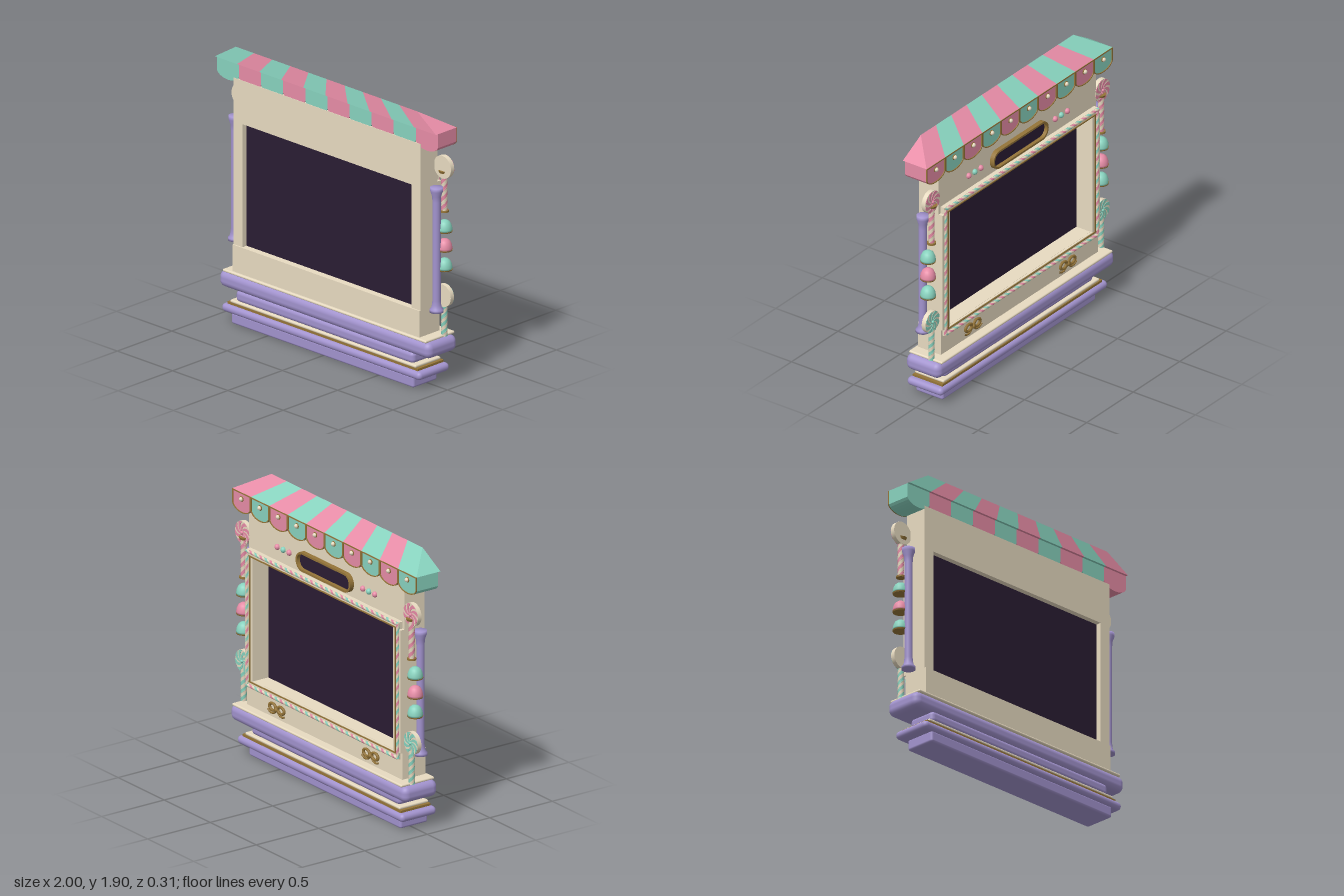
import * as THREE from 'three';
import { RoundedBoxGeometry } from 'three/addons/geometries/RoundedBoxGeometry.js';

const mat = (name, color) => {
  const m = new THREE.MeshStandardMaterial({ color });
  m.name = name;
  return m;
};

export function createModel() {
  const cream = mat('cream', 0xe8dbc1);
  const teal = mat('mint teal', 0x88d2be);
  const pink = mat('candy pink', 0xe68ca6);
  const purple = mat('lavender', 0xa293ce);
  const dark = mat('dark screen', 0x2a1c33);
  const gold = mat('old gold', 0x957539);

  const model = new THREE.Group();
  model.name = 'candyStall';

  const add = (name, geo, material, x = 0, y = 0, z = 0, parent = model) => {
    const m = new THREE.Mesh(geo, material);
    m.name = name;
    m.position.set(x, y, z);
    parent.add(m);
    return m;
  };
  // Box given by its half width and y / z ranges, optionally rounded
  const slab = (name, material, hx, y0, y1, z0, z1, r = 0, x = 0) => {
    const s = [hx * 2, y1 - y0, z1 - z0];
    const g = r ? new RoundedBoxGeometry(...s, 3, r) : new THREE.BoxGeometry(...s);
    return add(name, g, material, x, (y0 + y1) / 2, (z0 + z1) / 2);
  };
  const plate = (shape, depth) => new THREE.ExtrudeGeometry(shape, { depth, bevelEnabled: false, curveSegments: 10 });

  // Rod with spiral stripes: a cylinder twisted about its axis, one group per column
  const twistedRod = (r, h, turns, colours) => {
    const cols = 12, rows = Math.max(16, Math.ceil(turns * 10));
    const g = new THREE.CylinderGeometry(r, r, h, cols, rows, true);
    const p = g.attributes.position, v = new THREE.Vector3(), up = new THREE.Vector3(0, 1, 0);
    for (let i = 0; i < p.count; i++) {
      v.fromBufferAttribute(p, i).applyAxisAngle(up, (v.y / h) * turns * Math.PI * 2);
      p.setXYZ(i, v.x, v.y, v.z);
    }
    g.computeVertexNormals();
    g.clearGroups();
    const width = cols / colours.length;
    for (let c = 0; c < cols; c++) g.addGroup(c * rows * 6, rows * 6, Math.floor(c / width));
    return [g, colours];
  };

  // Stepped base
  slab('plinth', purple, 0.825, 0, 0.08, -0.085, 0.135, 0.016);
  slab('lowerMoulding', purple, 0.9, 0.07, 0.127, -0.13, 0.155, 0.028);
  slab('goldBand', gold, 0.86, 0.125, 0.142, -0.108, 0.13);
  slab('creamBand', cream, 0.84, 0.14, 0.16, -0.103, 0.13, 0.009);
  slab('baseNeck', purple, 0.805, 0.152, 0.235, -0.085, 0.12, 0.03);
  slab('upperMoulding', purple, 0.955, 0.22, 0.332, -0.148, 0.127, 0.045);
  slab('counterTop', cream, 0.92, 0.328, 0.347, -0.15, 0.118, 0.009);

  // Frame around the screen
  slab('lowerPanel', cream, 0.845, 0.34, 0.53, -0.085, 0.1);
  slab('fascia', cream, 0.845, 1.38, 1.68, -0.068, 0.09);
  for (const s of [-1, 1]) slab('sidePost', cream, 0.04, 0.53, 1.38, -0.1, 0.09, 0, s * 0.805);
  slab('screen', dark, 0.768, 0.528, 1.382, 0.028, 0.052);

  // Cream moulding with a candy rope outside and a thin gold line inside
  const ropeColours = [cream, pink, cream, teal];
  for (const [y, out] of [[0.505, -1], [1.405, 1]]) {
    const inner = y - out * 0.017;
    slab('creamMoulding', cream, 0.825, y - 0.024, y + 0.024, -0.1, -0.06);
    slab('goldLine', gold, 0.8, inner - 0.004, inner + 0.004, -0.106, -0.095);
    add('candyRope', ...twistedRod(0.012, 1.65, 15, ropeColours), 0, y + out * 0.012, -0.102).rotation.z = Math.PI / 2;
  }
  for (const s of [-1, 1]) {
    slab('goldLine', gold, 0.004, 0.52, 1.39, -0.106, -0.095, 0, s * 0.79);
    add('candyRope', ...twistedRod(0.012, 0.93, 8.5, ropeColours), s * 0.817, 0.955, -0.102);
  }

  // Pill-shaped sign plate
  const pill = (w, r) => {
    const s = new THREE.Shape();
    s.absarc(w, 0, r, -Math.PI / 2, Math.PI / 2);
    s.absarc(-w, 0, r, Math.PI / 2, Math.PI * 1.5);
    s.closePath();
    return s;
  };
  const rim = pill(0.23, 0.066);
  rim.holes.push(pill(0.23, 0.052));
  add('signRim', plate(rim, 0.035), gold, 0, 1.52, -0.1);
  add('signFace', plate(pill(0.23, 0.054), 0.008), dark, 0, 1.52, -0.075);

  // Candy buttons beside the sign, and bows on the lower panel
  for (const s of [-1, 1]) {
    [pink, teal, pink].forEach((m, i) => {
      add('candyButton', new THREE.SphereGeometry(0.02, 14, 10), m, s * 0.465 + (i - 1) * 0.065, 1.526, -0.072);
    });
    const bow = new THREE.Group();
    bow.name = 'bow';
    bow.position.set(s * 0.51, 0.412, -0.092);
    model.add(bow);
    add('bowKnot', new THREE.SphereGeometry(0.017, 12, 8), gold, 0, 0, 0, bow);
    for (const t of [-1, 1]) {
      add('bowLoop', new THREE.TorusGeometry(0.024, 0.009, 8, 20), gold, t * 0.045, 0.008, 0, bow).scale.x = 1.4;
      const tail = new THREE.CatmullRomCurve3([[0, 0], [0.03, -0.03], [0.065, -0.035], [0.095, -0.02]]
        .map(([x, y]) => new THREE.Vector3(t * x, y, 0)));
      add('bowTail', new THREE.TubeGeometry(tail, 12, 0.007, 6), gold, 0, 0, 0, bow);
    }
  }

  // Awning roof: ten tapering stripes plus two hip ends
  const N = 10, eaveY = 1.79, ridgeY = 1.902, zBack = -0.086, zFront = 0.105, zRidge = 0.095;
  const E = (x, z) => [x, eaveY, z], R = (x) => [x * 0.82, ridgeY, zRidge];
  const faces = (tris) => {
    const g = new THREE.BufferGeometry();
    g.setAttribute('position', new THREE.Float32BufferAttribute(tris.flat(), 3));
    g.computeVertexNormals();
    return g;
  };
  const quad = (a, b, c, d) => [a, b, c, a, c, d];
  // Scallop outline, shrunk by an inset
  const scallop = (inset) => {
    const w = 0.1 - inset, s = new THREE.Shape();
    s.moveTo(-w, -inset);
    s.lineTo(-w, -0.096);
    s.bezierCurveTo(-w * 0.75, -0.155 + inset, w * 0.75, -0.155 + inset, w, -0.096);
    s.lineTo(w, -inset);
    s.closePath();
    return s;
  };
  const trim = scallop(0);
  trim.holes.push(scallop(0.008));
  for (let i = 0; i < N; i++) {
    const x0 = -1 + i * 0.2, x1 = x0 + 0.2, cx = x0 + 0.1, m = i % 2 ? pink : teal;
    add('roofStripe', faces([
      ...quad(E(x1, zBack), E(x0, zBack), R(x0), R(x1)),
      ...quad(E(x0, zFront), E(x1, zFront), R(x1), R(x0)),
      ...quad(E(x0, zBack), E(x1, zBack), E(x1, zFront), E(x0, zFront)),
    ]), m);
    // Scalloped valance with gold trim and a bead
    add('valanceScallop', plate(scallop(0), 0.17), m, cx, eaveY, -0.083);
    add('valanceTrim', plate(trim, 0.007), gold, cx, eaveY, -0.089);
    add('beadSetting', new THREE.TorusGeometry(0.015, 0.004, 6, 16), gold, cx, 1.745, -0.086);
    add('valanceBead', new THREE.SphereGeometry(0.015, 12, 10), cream, cx, 1.745, -0.09);
  }
  add('roofEnd', faces([E(-1, zBack), E(-1, zFront), R(-1)]), teal);
  add('roofEnd', faces([E(1, zFront), E(1, zBack), R(1)]), pink);

  // Curved blade of the lollipop swirl
  const blade = (r, a0, a1) => {
    const s = new THREE.Shape(), steps = 6, pts = [];
    const at = (q, a) => new THREE.Vector2(Math.cos(a + q * 1.1) * r * q, Math.sin(a + q * 1.1) * r * q);
    for (let k = 0; k <= steps; k++) pts.push(at(k / steps, a0));
    pts.push(at(1, (a0 + a1) / 2));
    for (let k = steps; k > 0; k--) pts.push(at(k / steps, a1));
    s.setFromPoints(pts);
    return plate(s, 0.004);
  };
  const lollipop = (x, y, r, m) => {
    const g = new THREE.Group();
    g.name = 'lollipop';
    g.position.set(x, y, -0.055);
    model.add(g);
    add('lollipopDisc', new THREE.CylinderGeometry(r, r, 0.03, 36), cream, 0, 0, 0, g).rotation.x = Math.PI / 2;
    for (let k = 0; k < 8; k++) {
      const a = (k * Math.PI) / 4;
      add('lollipopSwirl', blade(r * 0.98, a, a + 0.47), m, 0, 0, -0.018, g);
    }
    add('lollipopCentre', new THREE.SphereGeometry(0.012, 12, 8), m, 0, 0, -0.016, g);
  };

  // Side decorations, mirrored left and right
  const columnProfile = [[0, 0.52], [0.046, 0.52], [0.046, 0.538], [0.036, 0.545], [0.03, 0.57], [0.027, 0.6],
    [0.027, 1.28], [0.03, 1.32], [0.042, 1.355], [0.042, 1.38], [0, 1.38]].map(([x, y]) => new THREE.Vector2(x, y));
  const dropProfile = [[0, 0], [0.05, 0], [0.051, 0.012], [0.047, 0.035], [0.036, 0.058], [0.02, 0.07], [0, 0.074]]
    .map(([x, y]) => new THREE.Vector2(x, y));
  for (const s of [-1, 1]) {
    add('column', new THREE.LatheGeometry(columnProfile, 24), purple, s * 0.912, 0, 0.01);
    add('lowerCandyPole', ...twistedRod(0.021, 0.24, 2.2, [cream, teal, cream, teal]), s * 0.912, 0.455, -0.06);
    add('upperCandyPole', ...twistedRod(0.021, 0.27, 2.2, [cream, pink, cream, pink]), s * 0.912, 1.33, -0.06);
    add('poleCollar', new THREE.CylinderGeometry(0.036, 0.03, 0.016, 20), gold, s * 0.908, 1.47, -0.06);
    add('poleFoot', new THREE.CylinderGeometry(0.03, 0.03, 0.012, 20), gold, s * 0.912, 1.198, -0.06);
    lollipop(s * 0.915, 1.505, 0.078, pink);
    lollipop(s * 0.915, 0.618, 0.076, teal);
    for (const [y, m] of [[1.072, teal], [0.942, pink], [0.808, teal]]) {
      add('gumdrop', new THREE.LatheGeometry(dropProfile, 24), m, s * 0.93, y, -0.045);
      add('gumdropDish', new THREE.CylinderGeometry(0.053, 0.05, 0.008, 24), gold, s * 0.93, y - 0.003, -0.045);
    }
  }

  return model;
}
